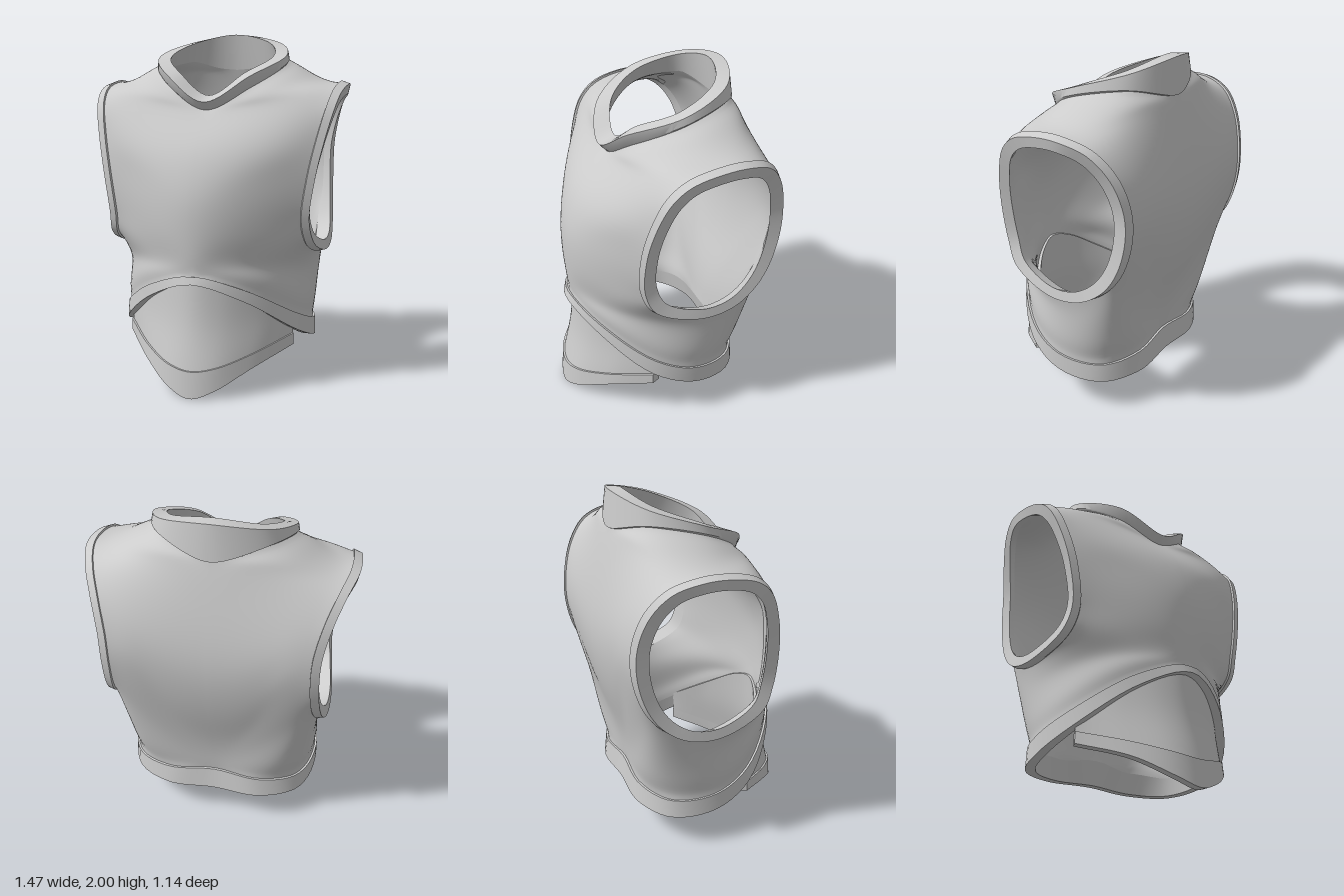
import * as THREE from 'three';
import { toCreasedNormals } from 'three/addons/utils/BufferGeometryUtils.js';

const V = (x, y, z) => new THREE.Vector3(x, y, z);
const vecs = (list) => list.map((p) => V(...p));
const mirrorX = (p) => V(-p.x, p.y, p.z);
const range = (a, b, n) => Array.from({ length: n + 1 }, (_, i) => a + ((b - a) * i) / n);

// Half (x >= 0) of a symmetric closed loop, given from centre line to centre line
function halfLoop(list) {
  const pts = vecs(list);
  const all = [...pts, ...pts.slice(1, -1).reverse().map(mirrorX)];
  const curve = new THREE.CatmullRomCurve3(all, true);
  return (t) => curve.getPoint(t / 2);
}

// Half (x >= 0) of a symmetric open curve, given from the centre outwards
function halfArc(list) {
  const pts = vecs(list);
  const curve = new THREE.CatmullRomCurve3([...pts.slice(1).reverse().map(mirrorX), ...pts]);
  return (t) => curve.getPoint(0.5 + t / 2);
}

function openCurve(list) {
  const curve = new THREE.CatmullRomCurve3(vecs(list));
  return (t) => curve.getPoint(t);
}

// Closed curve with 16 keys; s runs 0..16
function ring(list) {
  const curve = new THREE.CatmullRomCurve3(vecs(list), true);
  return (s) => curve.getPoint((s / 16) % 1);
}

// Mesh of point grids plus their mirror images
function patch(name, grids, crease = 0.7) {
  const pos = [];
  const tri = (a, b, c) => {
    for (const p of [a, b, c]) pos.push(p.x, p.y, p.z);
    for (const p of [a, c, b]) pos.push(-p.x, p.y, p.z);
  };
  for (const g of grids) {
    for (let i = 0; i < g.length - 1; i++) {
      for (let j = 0; j < g[i].length - 1; j++) {
        tri(g[i][j], g[i + 1][j], g[i + 1][j + 1]);
        tri(g[i][j], g[i + 1][j + 1], g[i][j + 1]);
      }
    }
  }
  const geo = new THREE.BufferGeometry();
  geo.setAttribute('position', new THREE.Float32BufferAttribute(pos, 3));
  const mat = new THREE.MeshStandardMaterial({ color: 0xcccccc, side: THREE.DoubleSide });
  const mesh = new THREE.Mesh(toCreasedNormals(geo, crease), mat);
  mesh.name = name;
  return mesh;
}

// Outer armhole rim: front going up, over the shoulder, down the back, under the arm
const armRim = ring([
  [0.605, 0.84, 0.2], [0.59, 0.97, 0.262], [0.62, 1.2, 0.27], [0.66, 1.4, 0.235],
  [0.70, 1.57, 0.165], [0.72, 1.655, 0.07], [0.735, 1.7, -0.1], [0.73, 1.7, -0.24],
  [0.69, 1.65, -0.38], [0.64, 1.53, -0.48], [0.6, 1.35, -0.535], [0.595, 1.17, -0.535],
  [0.605, 0.98, -0.48], [0.62, 0.855, -0.39], [0.635, 0.77, -0.25], [0.635, 0.75, -0.05],
]);
const aroundArm = (p, dx, sy, sz) => V(p.x + dx, 1.22 + (p.y - 1.22) * sy, -0.12 + (p.z + 0.12) * sz);

// Outer border of each half: front line, neck, back line, hem
const border = [
  openCurve([[0, 0.67, 0.505], [0, 0.88, 0.518], [0, 1.12, 0.51], [0, 1.35, 0.43], [0, 1.56, 0.255]]),
  halfLoop([[0, 1.56, 0.255], [0.23, 1.68, 0.185], [0.385, 1.81, -0.05], [0.29, 1.865, -0.33], [0, 1.8, -0.445]]),
  openCurve([[0, 1.8, -0.445], [0, 1.53, -0.52], [0, 1.22, -0.572], [0, 0.9, -0.53], [0, 0.6, -0.442], [0, 0.35, -0.402]]),
  halfLoop([[0, 0.35, -0.402], [0.27, 0.325, -0.41], [0.485, 0.31, -0.3], [0.56, 0.335, -0.06],
    [0.5, 0.42, 0.17], [0.27, 0.59, 0.41], [0, 0.67, 0.505]]),
];
const borderAt = (s) => border[Math.floor(s / 4)]((s % 4) / 4);

// Directions in which the surface leaves the armhole and the border
const armHandle = ring([
  [-0.12, -0.06, 0.11], [-0.18, 0, 0.12], [-0.2, 0, 0.11], [-0.2, 0, 0.11],
  [-0.2, 0.02, 0.08], [-0.16, 0.03, 0.05], [-0.12, 0, 0], [-0.12, 0, -0.02],
  [-0.18, 0.02, -0.04], [-0.2, 0, -0.04], [-0.2, 0, -0.04], [-0.2, 0, -0.04],
  [-0.12, -0.14, -0.01], [-0.04, -0.14, -0.02], [-0.03, -0.13, 0], [-0.03, -0.12, 0.04],
]);
const borderHandle = ring([
  [0.15, 0.05, -0.02], [0.17, 0, 0], [0.18, 0, 0], [0.18, 0, 0],
  [0.13, 0, 0.01], [0.1, -0.03, 0.04], [0.1, -0.04, 0], [0.1, -0.06, -0.04],
  [0.18, 0, 0], [0.25, 0, 0], [0.25, 0, 0], [0.25, 0, 0],
  [0.17, 0.09, -0.01], [0.05, 0.15, -0.02], [0.01, 0.13, 0], [0.05, 0.12, 0.01],
]);

const WALL = 0.05, BUMP = 0.012, STEPS = 128, ROWS = 20, QUARTER = STEPS / 4;

// Points on the centre line meet their own mirror image
const onCentre = (i, j) => j === ROWS && Math.floor(i / QUARTER) % 2 === 0 && i % QUARTER !== 0;
const at = (grid, i, j) =>
  j > ROWS ? mirrorX(grid[i][2 * ROWS - j]) : grid[(i + STEPS) % STEPS][j];

// Half torso: rays from the armhole to the border, then faired without shrinking
function buildTorso() {
  let grid = range(0, 16, STEPS).slice(0, -1).map((s) => {
    const a = aroundArm(armRim(s), -0.048, 1.01, 1.01), c = borderAt(s);
    const ray = new THREE.CubicBezierCurve3(a, a.clone().add(armHandle(s)), c.clone().add(borderHandle(s)), c);
    return range(0, 1, ROWS).map((t) => ray.getPoint(t));
  });
  for (let pass = 0; pass < 600; pass++) {
    const amount = pass % 2 ? -0.5 : 0.5;
    grid = grid.map((col, i) => col.map((p, j) => {
      if (j === 0 || (j === ROWS && !onCentre(i, j))) return p;
      const mean = V(0, 0, 0);
      for (const [di, dj] of [[1, 0], [-1, 0], [0, 1], [0, -1]]) mean.addScaledVector(at(grid, i + di, j + dj), 0.25);
      return p.clone().lerp(mean, amount);
    }));
  }
  return grid;
}

// Copy of the grid moved along its normals
function offsetGrid(grid, d) {
  return grid.map((col, i) => col.map((p, j) => {
    const ds = at(grid, i + 1, j).clone().sub(at(grid, i - 1, j));
    const n = ds.cross(grid[i][Math.min(ROWS, j + 1)].clone().sub(grid[i][Math.max(0, j - 1)]));
    if (j === ROWS && Math.abs(p.x) < 1e-5) n.x = 0;
    return p.clone().addScaledVector(n.normalize(), d);
  }));
}

// Curved slab lofted through half arcs listed from bottom to top
function slab(name, arcs, rows, push) {
  const outer = range(0, 1, 24).map((u) => {
    const curve = new THREE.CatmullRomCurve3(arcs.map((arc) => arc(u)));
    return range(0, 1, rows).map((v) => curve.getPoint(v).add(V(0.5 * push * u, 0, push)));
  });
  const inner = outer.map((col) => col.map((p) => V(p.x * 0.955, p.y, p.z - 0.035 - push)));
  const wrap = outer.map((col, i) => [...col, ...inner[i].slice().reverse(), col[0]]);
  const end = outer.length - 1;
  return patch(name, [wrap, [outer[end], inner[end]]]);
}

export function createModel() {
  const group = new THREE.Group();
  const skin = buildTorso(), lining = offsetGrid(skin, -WALL), raised = offsetGrid(skin, BUMP);
  const closed = (g) => [...g, g[0]];

  // Torso shell, outside and inside
  group.add(patch('torsoShell', [closed(skin), closed(lining).map((col) => col.slice().reverse())], 1));

  // Raised trims around both armholes
  const armGrid = skin.map((col, i) => {
    const rim = armRim((16 * i) / STEPS);
    return [lining[i][0], aroundArm(rim, -0.01, 0.88, 0.82), rim, raised[i][0], col[0]];
  });
  group.add(patch('armholeTrims', [closed(armGrid)]));

  // Trim along the neck or the hem, from the seam over the rim to the inside
  const edgeTrim = (name, first, rimOuter, rimInner) => patch(name, [range(0, 1, QUARTER).map((t, k) => {
    const i = (first + k) % STEPS;
    return [skin[i][ROWS], raised[i][ROWS], rimOuter(t), rimInner(t), lining[i][ROWS]];
  })]);

  // Standing collar
  group.add(edgeTrim('collar', QUARTER,
    halfLoop([[0, 1.605, 0.295], [0.235, 1.745, 0.212], [0.385, 1.86, -0.05], [0.28, 1.95, -0.33], [0, 2, -0.435]]),
    halfLoop([[0, 1.64, 0.2], [0.19, 1.765, 0.14], [0.31, 1.86, -0.05], [0.225, 1.95, -0.28], [0, 2, -0.36]])));

  // Hem band, arched at the front
  const hemRim = halfLoop([[0, 0.215, -0.432], [0.28, 0.205, -0.435], [0.5, 0.2, -0.31], [0.573, 0.23, -0.06],
    [0.51, 0.33, 0.19], [0.27, 0.53, 0.43], [0, 0.63, 0.53]]);
  group.add(edgeTrim('hemBand', 3 * QUARTER, hemRim, (t) => hemRim(t).multiply(V(0.91, 1, 0.89))));

  // Belly plate set into the wall behind the hem, with its lower trim
  const seam = halfArc([[0, 0.15, 0.55], [0.13, 0.17, 0.52], [0.3, 0.225, 0.39], [0.49, 0.3, 0.165]]);
  const middle = halfArc([[0, 0.4, 0.5], [0.14, 0.4, 0.465], [0.32, 0.4, 0.34], [0.49, 0.36, 0.165]]);
  const top = halfArc([[0, 0.71, 0.475], [0.14, 0.67, 0.44], [0.29, 0.57, 0.35], [0.49, 0.42, 0.16]]);
  const bottom = halfArc([[0, 0, 0.562], [0.13, 0.045, 0.53], [0.3, 0.145, 0.4], [0.49, 0.235, 0.165]]);
  group.add(slab('bellyPlate', [seam, middle, top], 12, 0));
  group.add(slab('bellyPlateTrim', [bottom, seam], 3, BUMP));
  return group;
}
